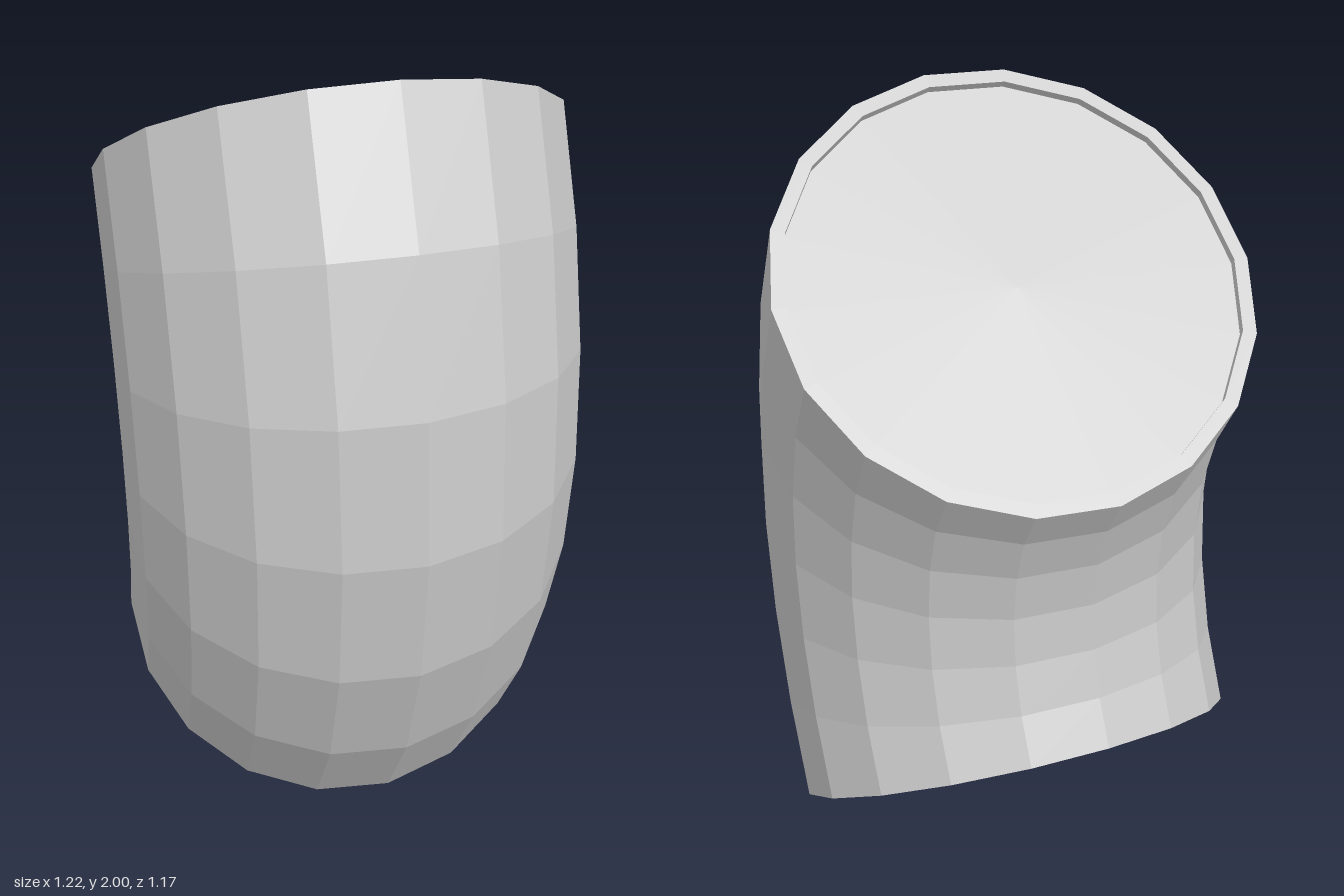
import * as THREE from 'three';

const SIDES = 18, SEGMENTS = 6;
const BEND_RADIUS = 1.122, PIPE_RADIUS = 0.553, INNER_RADIUS = 0.52, RECESS = 0.02;
const HALF_BEND = THREE.MathUtils.degToRad(36.75);
const HEADING = THREE.MathUtils.degToRad(26); // direction of the outer side of the bend

export function createModel() {
  const model = new THREE.Group();
  model.name = 'pipeElbow';
  const grey = new THREE.MeshStandardMaterial({ color: 0xc8c8c8 });
  grey.name = 'light grey';
  grey.flatShading = true;

  // Local frame: bend axis is y, the pipe runs along x, the outer side faces +z
  const elbow = new THREE.Group();
  elbow.name = 'elbow';
  const outward = new THREE.Vector3(Math.cos(HEADING), 0, Math.sin(HEADING));
  const axis = new THREE.Vector3(-Math.sin(HEADING), 0, Math.cos(HEADING));
  elbow.quaternion.setFromRotationMatrix(
    new THREE.Matrix4().makeBasis(new THREE.Vector3(0, 1, 0), axis, outward));
  elbow.position.set(0.055, 1, 0.045).addScaledVector(outward, -BEND_RADIUS);
  model.add(elbow);

  // Curved wall: a circle swept around the bend axis
  const circle = [];
  for (let i = 0; i <= SIDES; i++) {
    const a = (i / SIDES) * Math.PI * 2 - HEADING;
    circle.push(new THREE.Vector2(BEND_RADIUS + PIPE_RADIUS * Math.cos(a), PIPE_RADIUS * Math.sin(a)));
  }
  const wall = new THREE.Mesh(
    new THREE.LatheGeometry(circle, SEGMENTS, -HALF_BEND, 2 * HALF_BEND), grey);
  wall.name = 'pipeWall';
  elbow.add(wall);

  // Ends: a narrow rim around a slightly recessed disc
  const profile = [
    [PIPE_RADIUS, 0], [INNER_RADIUS, 0], [INNER_RADIUS, -RECESS], [0, -RECESS],
  ].map(([x, y]) => new THREE.Vector2(x, y));
  for (const s of [1, -1]) {
    const geometry = new THREE.LatheGeometry(profile, SIDES, s * HEADING + Math.PI / 2);
    geometry.rotateX(Math.PI / 2);
    const end = new THREE.Mesh(geometry, grey);
    end.name = s > 0 ? 'upperEnd' : 'lowerEnd';
    end.position.set(s * BEND_RADIUS * Math.sin(HALF_BEND), 0, BEND_RADIUS * Math.cos(HALF_BEND));
    end.rotation.y = s * (Math.PI / 2 + HALF_BEND);
    elbow.add(end);
  }
  return model;
}
